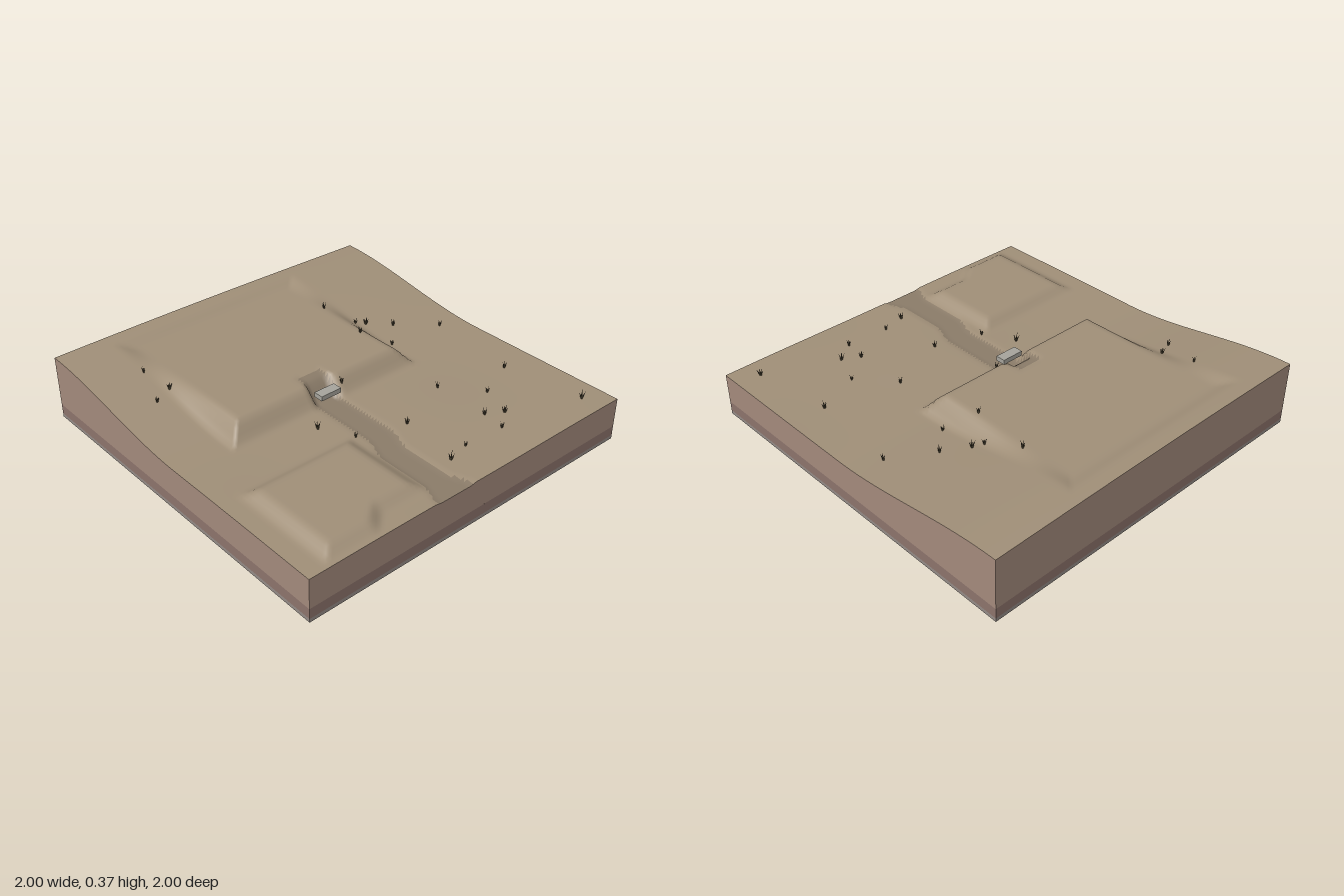
import * as THREE from 'three';
import { mergeGeometries } from 'three/addons/utils/BufferGeometryUtils.js';

const CELLS = 100;
const { smoothstep, lerp, clamp } = THREE.MathUtils;
const mat = (color, extra = {}) => new THREE.MeshStandardMaterial({ color, ...extra });

// 1 inside a rectangle, easing to 0 over the given margin
function platform(x, z, x0, x1, z0, z1, margin) {
  const d = Math.max(x0 - x, x - x1, z0 - z, z - z1);
  return 1 - smoothstep(d, 0, margin);
}

// 1 on the sunken path, 0 away from it
function pathMask(x, z) {
  if (z < -0.08) return 0;
  const centre = lerp(-0.1, -0.15, smoothstep(z, 0.44, 0.62));
  const half = 0.055 + 0.04 * smoothstep(z, 0.86, 1);
  return 1 - smoothstep(Math.abs(x - centre), half, half + 0.035);
}

function groundHeight(x, z) {
  // hillside rising to the back
  const rise = smoothstep(-z, -0.05, 1);
  let h = 0.238 + rise * (0.116 + 0.009 * Math.cos(1.5 * (x + 0.2)));
  h += 0.002 * Math.sin(5 * x + 1) * Math.sin(4 * z) * (1 - rise);
  // upper terrace, cut into the hill at the back, with a ramp where the path meets it
  const path = pathMask(x, z);
  const frontEdge = lerp(0, -0.05, path);
  h = lerp(h, 0.331, platform(x, z, -0.6, 0.38, -0.82, frontEdge, 0.11));
  // lower terrace with a stepped front edge
  const lowFront = lerp(0.9, 0.82, smoothstep(x, -0.62, -0.48));
  h = lerp(h, 0.277, platform(x, z, -0.81, -0.31, 0.46, lowFront, 0.09));
  return h - 0.007 * path;
}

// Ground surface, split into soil and path cells
function addGround(group) {
  const geo = new THREE.PlaneGeometry(2, 2, CELLS, CELLS).rotateX(-Math.PI / 2);
  const p = geo.attributes.position;
  for (let i = 0; i < p.count; i++) p.setY(i, groundHeight(p.getX(i), p.getZ(i)));
  geo.computeVertexNormals();
  const soil = [], path = [], idx = geo.index.array;
  for (let i = 0; i < idx.length; i += 3) {
    const tri = [idx[i], idx[i + 1], idx[i + 2]];
    const x = tri.reduce((s, k) => s + p.getX(k), 0) / 3;
    const z = tri.reduce((s, k) => s + p.getZ(k), 0) / 3;
    (pathMask(x, z) > 0.5 ? path : soil).push(...tri);
  }
  for (const [name, index, color] of [['ground', soil, 0xa08f78], ['path', path, 0x8b7c69]]) {
    const part = geo.clone();
    part.setIndex(index);
    const mesh = new THREE.Mesh(part, mat(color));
    mesh.name = name;
    group.add(mesh);
  }
}

// Side walls of the earth block, following the ground along the top
function addWalls(group, bottom) {
  const geo = new THREE.BoxGeometry(2, 1, 2, CELLS, 1, CELLS);
  const p = geo.attributes.position;
  for (let i = 0; i < p.count; i++) {
    p.setY(i, p.getY(i) > 0 ? groundHeight(p.getX(i), p.getZ(i)) : bottom);
  }
  const top = geo.groups[2], idx = Array.from(geo.index.array);
  idx.splice(top.start, top.count * 2); // open top, and no hidden underside
  geo.setIndex(idx);
  geo.clearGroups();
  const mesh = new THREE.Mesh(geo, mat(0xa38a7c));
  mesh.name = 'earthWalls';
  group.add(mesh);
}

function addBox(group, name, size, pos, color) {
  const mesh = new THREE.Mesh(new THREE.BoxGeometry(...size), mat(color));
  mesh.position.set(...pos);
  mesh.name = name;
  group.add(mesh);
}

// Tuft of pointed blades splaying outwards
function tuftGeometry() {
  const blades = [];
  for (let i = 0; i < 5; i++) {
    const length = 0.034 + 0.005 * (i % 3);
    blades.push(new THREE.ConeGeometry(0.0045, length, 4)
      .translate(0, length / 2, 0)
      .rotateZ(-0.3 - 0.12 * (i % 2))
      .rotateY(i * Math.PI * 0.4));
  }
  return mergeGeometries(blades);
}

export function createModel() {
  const model = new THREE.Group();
  model.name = 'terrainBlock';

  addGround(model);
  addWalls(model, 0.075);
  addBox(model, 'middleStratum', [2, 0.055, 2], [0, 0.0475, 0], 0x8c736b);
  addBox(model, 'baseStratum', [2, 0.02, 2], [0, 0.01, 0], 0x938a85);

  // Stone slab at the head of the path
  addBox(model, 'stoneSlab', [0.125, 0.026, 0.055], [-0.105, 0.297, 0.078], 0xa6a49c);

  // Grass tufts scattered over the ground
  const spots = [
    [-0.71, -0.63], [-0.78, -0.41], [-0.68, -0.45], [-0.29, 0.22], [-0.2, 0.39],
    [0.01, 0.05], [0.06, 0.47], [0.01, 0.81], [0.14, 0.78], [0.38, 0.79],
    [0.4, 0.66], [0.49, 0.71], [0.56, 0.53], [0.4, 0.34], [0.8, 0.43],
    [0.87, 0.88], [0.51, -0.11], [0.85, -0.09], [0.64, -0.24], [0.52, -0.33],
    [0.47, -0.36], [0.37, -0.21], [0.4, -0.54],
  ];
  const tuft = tuftGeometry();
  const tuftMat = mat(0x4f4735, { flatShading: true });
  const tufts = new THREE.Group();
  tufts.name = 'grassTufts';
  spots.forEach(([x, z], i) => {
    const mesh = new THREE.Mesh(tuft, tuftMat);
    mesh.name = 'grassTuft';
    mesh.position.set(x, groundHeight(x, z) - 0.002, z);
    mesh.rotation.y = i * 2.4;
    mesh.scale.setScalar(clamp(0.85 + 0.1 * (i % 4), 0.85, 1.15));
    tufts.add(mesh);
  });
  model.add(tufts);

  return model;
}
